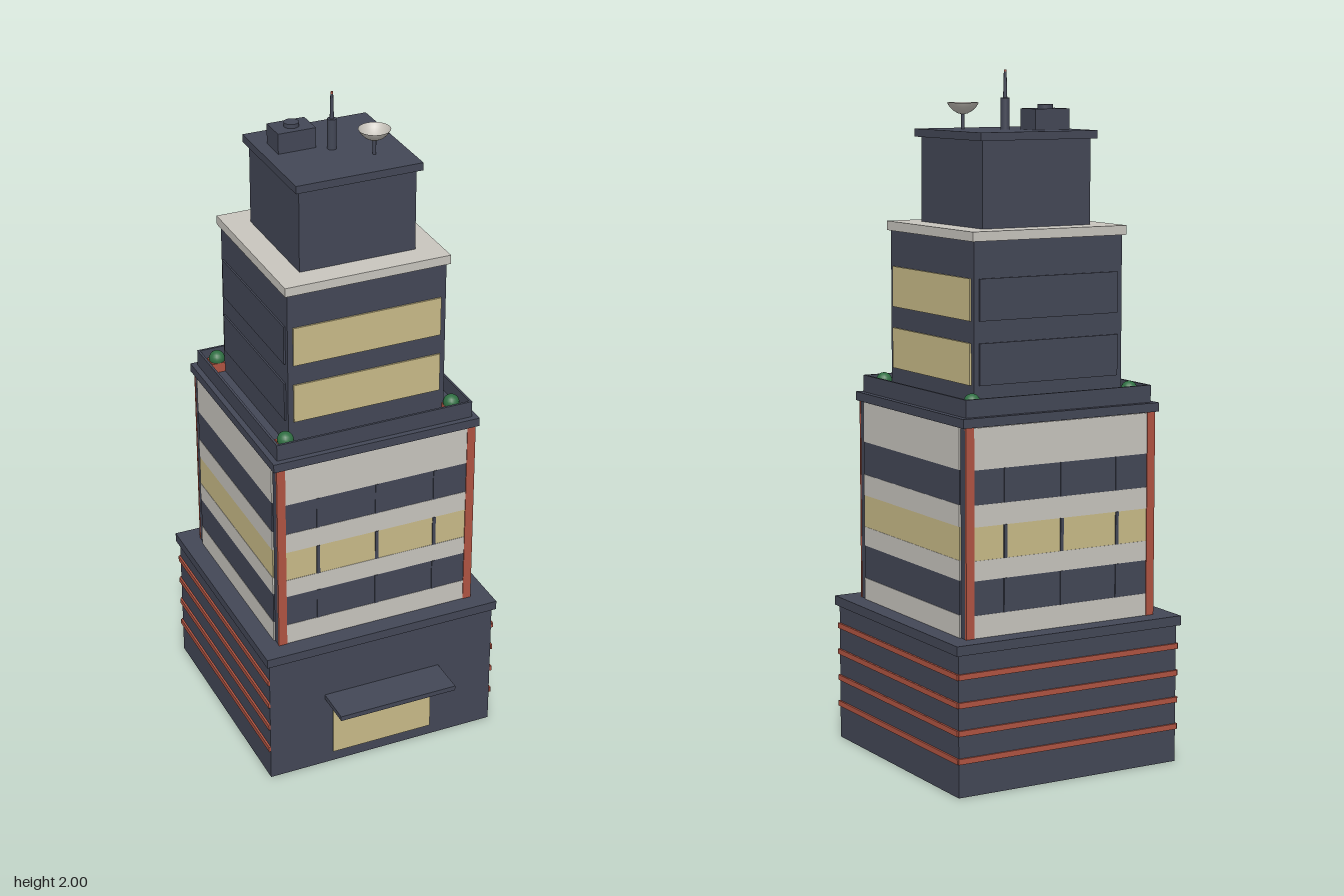
import * as THREE from 'three';

const mat = (name, color) => {
  const m = new THREE.MeshStandardMaterial({ color });
  m.name = name;
  return m;
};

export function createModel() {
  const slate = mat('slate', 0x434756);
  const stone = mat('stone', 0xc8c5be);
  const glow = mat('litGlass', 0xc9bb88);
  const red = mat('red', 0xb05442);
  const green = mat('green', 0x2f6e42);
  const dishMat = mat('dishStone', 0xc6c2ba);
  dishMat.side = THREE.DoubleSide;

  const model = new THREE.Group();
  model.name = 'tower';
  const tower = new THREE.Group(); // everything is centred on the tower axis
  tower.name = 'building';
  tower.position.z = -0.055;
  model.add(tower);

  const add = (parent, name, geo, m, x = 0, y = 0, z = 0) => {
    const mesh = new THREE.Mesh(geo, m);
    mesh.name = name;
    mesh.position.set(x, y, z);
    parent.add(mesh);
    return mesh;
  };
  // Square storey of given half width between two heights
  const storey = (name, half, y0, y1, m = slate) =>
    add(tower, name, new THREE.BoxGeometry(half * 2, y1 - y0, half * 2), m, 0, (y0 + y1) / 2);
  // Thin plate on a facade, standing from the wall (half) out by depth
  const plate = (parent, name, m, x0, x1, y0, y1, half, depth) =>
    add(parent, name, new THREE.BoxGeometry(x1 - x0, y1 - y0, depth), m,
      (x0 + x1) / 2, (y0 + y1) / 2, half + depth / 2);

  // Stacked masses
  storey('base', 0.362, 0, 0.407);
  storey('baseCornice', 0.372, 0.407, 0.435);
  storey('middleBlock', 0.311, 0.435, 1.03);
  storey('middleCornice', 0.322, 1.03, 1.056);
  storey('upperBlock', 0.243, 1.056, 1.535);
  storey('upperCornice', 0.252, 1.535, 1.562, stone);
  storey('penthouse', 0.177, 1.562, 1.807);
  storey('roofSlab', 0.191, 1.807, 1.83);

  // Facades: front, +x side, back, -x side
  ['front', 'left', 'back', 'right'].forEach((side, i) => {
    const f = new THREE.Group();
    f.name = side + 'Facade';
    f.rotation.y = i * Math.PI / 2;
    tower.add(f);
    const isFrontOrBack = i % 2 === 0;

    // Low parapet around the terrace
    plate(f, 'parapet', slate, -0.305, 0.305, 1.056, 1.106, 0.298, 0.007);

    // Base: red bands everywhere but the front
    if (i > 0) {
      for (let k = 0; k < 4; k++) {
        const y = 0.105 + k * 0.08;
        plate(f, 'baseStripe', red, -0.364, 0.364, y - 0.008, y + 0.008, 0.362, 0.006);
      }
    }

    // Middle block: stone spandrels and a lit window band
    for (const [y0, y1] of [[0.435, 0.5], [0.598, 0.655], [0.75, 0.812], [0.91, 1.028]])
      plate(f, 'spandrel', stone, -0.286, 0.286, y0, y1, 0.311, 0.005);
    plate(f, 'windowBand', glow, -0.286, 0.286, 0.655, 0.75, 0.311, 0.004);
    for (const [y0, y1] of [[0.5, 0.598], [0.812, 0.91]])
      plate(f, 'darkWindowBand', slate, -0.286, 0.286, y0, y1, 0.311, 0.004);
    if (isFrontOrBack) {
      for (const x of [-0.185, 0, 0.185])
        for (const [y0, y1] of [[0.5, 0.598], [0.655, 0.75], [0.812, 0.91]])
          plate(f, 'mullion', slate, x - 0.005, x + 0.005, y0, y1, 0.311, 0.007);
      for (const s of [-1, 1])
        plate(f, 'cornerFin', red, s * 0.299 - 0.013, s * 0.299 + 0.013, 0.435, 1.03, 0.311, 0.007);
    }

    // Upper block: lit windows on two sides, dark on the others
    for (const y of [1.133, 1.313])
      plate(f, 'upperWindow', i < 2 ? glow : slate, -0.227, 0.227, y, y + 0.118, 0.243, 0.005);
  });

  // Entrance and canopy
  plate(tower, 'door', glow, -0.16, 0.16, 0.035, 0.235, 0.362, 0.005);
  plate(tower, 'canopy', slate, -0.186, 0.186, 0.235, 0.25, 0.36, 0.12);

  // Terrace planters with round shrubs
  for (const sx of [-1, 1]) for (const sz of [-1, 1]) {
    add(tower, 'planter', new THREE.BoxGeometry(0.046, 0.03, 0.046), red, sx * 0.26, 1.071, sz * 0.26);
    add(tower, 'shrub', new THREE.SphereGeometry(0.024, 16, 12), green, sx * 0.26, 1.092, sz * 0.26);
  }

  // Roof unit with fan
  add(tower, 'roofUnit', new THREE.BoxGeometry(0.114, 0.06, 0.082), slate, -0.095, 1.86, -0.064);
  add(tower, 'roofFan', new THREE.CylinderGeometry(0.022, 0.022, 0.012, 20), slate, -0.095, 1.896, -0.064);

  // Stepped antenna with a red tip
  add(tower, 'antennaBase', new THREE.CylinderGeometry(0.013, 0.013, 0.09, 16), slate, 0, 1.875, 0);
  add(tower, 'antennaMast', new THREE.CylinderGeometry(0.004, 0.006, 0.074, 12), slate, 0, 1.957, 0);
  add(tower, 'antennaTip', new THREE.CylinderGeometry(0.003, 0.004, 0.006, 12), red, 0, 1.997, 0);

  // Dish facing the sky
  const bowl = [[0, 0], [0.014, 0.003], [0.028, 0.011], [0.039, 0.022], [0.046, 0.034]]
    .map(([r, y]) => new THREE.Vector2(r, y));
  add(tower, 'dish', new THREE.LatheGeometry(bowl, 28), dishMat, 0.092, 1.872, 0.083);
  add(tower, 'dishPole', new THREE.CylinderGeometry(0.005, 0.005, 0.044, 10), slate, 0.092, 1.851, 0.083);

  return model;
}
